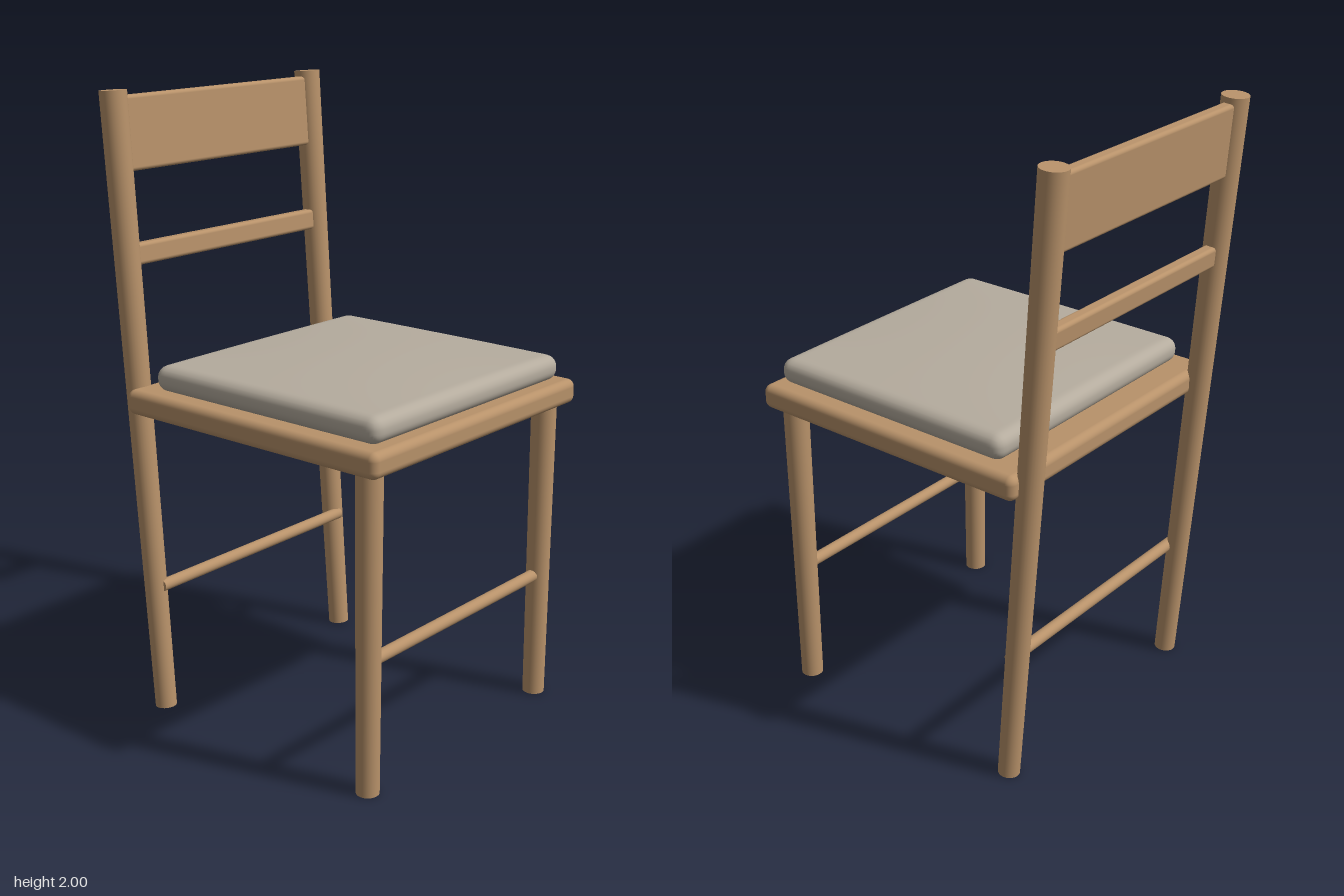
import * as THREE from 'three';
import { mergeVertices } from 'three/addons/utils/BufferGeometryUtils.js';
import { RoundedBoxGeometry } from 'three/addons/geometries/RoundedBoxGeometry.js';

const wood = new THREE.MeshStandardMaterial({ name: 'wood', color: 0xb8926a });
const fabric = new THREE.MeshStandardMaterial({ name: 'cushionFabric', color: 0xb5ac9e });

const LEG_X = 0.44;
const LEAN = -0.0715; // backward lean of the rear posts

function add(parent, name, geometry, material, x, y, z) {
  const mesh = new THREE.Mesh(geometry, material);
  mesh.name = name;
  mesh.position.set(x, y, z);
  parent.add(mesh);
  return mesh;
}

// Thin round bar running across between two legs
function stretcher(parent, name, y, z) {
  const bar = add(parent, name, new THREE.CylinderGeometry(0.02, 0.02, 2 * LEG_X, 20), wood, 0, y, z);
  bar.rotation.z = Math.PI / 2;
}

// Soft pad: a subdivided box with rounded edges and a slightly domed top
function cushionGeometry(w, h, d, r, dome) {
  let geo = new THREE.BoxGeometry(w, h, d, 72, 12, 72);
  geo.deleteAttribute('normal');
  geo.deleteAttribute('uv');
  geo = mergeVertices(geo);
  const inner = new THREE.Vector3(w / 2 - r, h / 2 - r, d / 2 - r);
  const innerMin = inner.clone().negate();
  const pos = geo.attributes.position;
  const p = new THREE.Vector3();
  const c = new THREE.Vector3();
  for (let i = 0; i < pos.count; i++) {
    p.fromBufferAttribute(pos, i);
    c.copy(p).clamp(innerMin, inner);
    p.sub(c).setLength(r).add(c);
    if (p.y > 0) {
      const bulge = (1 - (2 * p.x / w) ** 2) * (1 - (2 * p.z / d) ** 2);
      p.y += dome * bulge * Math.min(1, p.y / (h / 2));
    }
    pos.setXYZ(i, p.x, p.y, p.z);
  }
  geo.computeVertexNormals();
  return geo;
}

export function createModel() {
  const chair = new THREE.Group();
  chair.name = 'chair';

  // Seat board and cushion
  add(chair, 'seat', new RoundedBoxGeometry(1.02, 0.08, 1.0, 5, 0.025), wood, 0, 1.05, 0.06);
  add(chair, 'cushion', cushionGeometry(0.93, 0.082, 0.885, 0.037, 0.014), fabric, 0, 1.131, 0.083);

  // Leaning back frame, built upright about its middle and tilted as one
  const back = new THREE.Group();
  back.name = 'backFrame';
  back.position.set(0, 1, -0.449);
  back.rotation.x = LEAN;
  chair.add(back);

  for (const side of [-1, 1]) {
    const label = side > 0 ? 'left' : 'right';
    add(chair, label + 'FrontLeg', new THREE.CylinderGeometry(0.041, 0.036, 1.03, 28), wood, side * LEG_X, 0.515, 0.485);
    add(back, label + 'BackPost', new THREE.CylinderGeometry(0.043, 0.035, 2, 28), wood, side * LEG_X, 0, 0);
  }

  // Back slats
  add(back, 'topSlat', new RoundedBoxGeometry(2 * LEG_X, 0.23, 0.042, 4, 0.012), wood, 0, 0.867, 0);
  add(back, 'middleSlat', new RoundedBoxGeometry(2 * LEG_X, 0.068, 0.042, 4, 0.012), wood, 0, 0.497, 0);

  // Lower stretchers
  stretcher(chair, 'frontStretcher', 0.425, 0.485);
  stretcher(chair, 'backStretcher', 0.425, -0.38);

  return chair;
}
